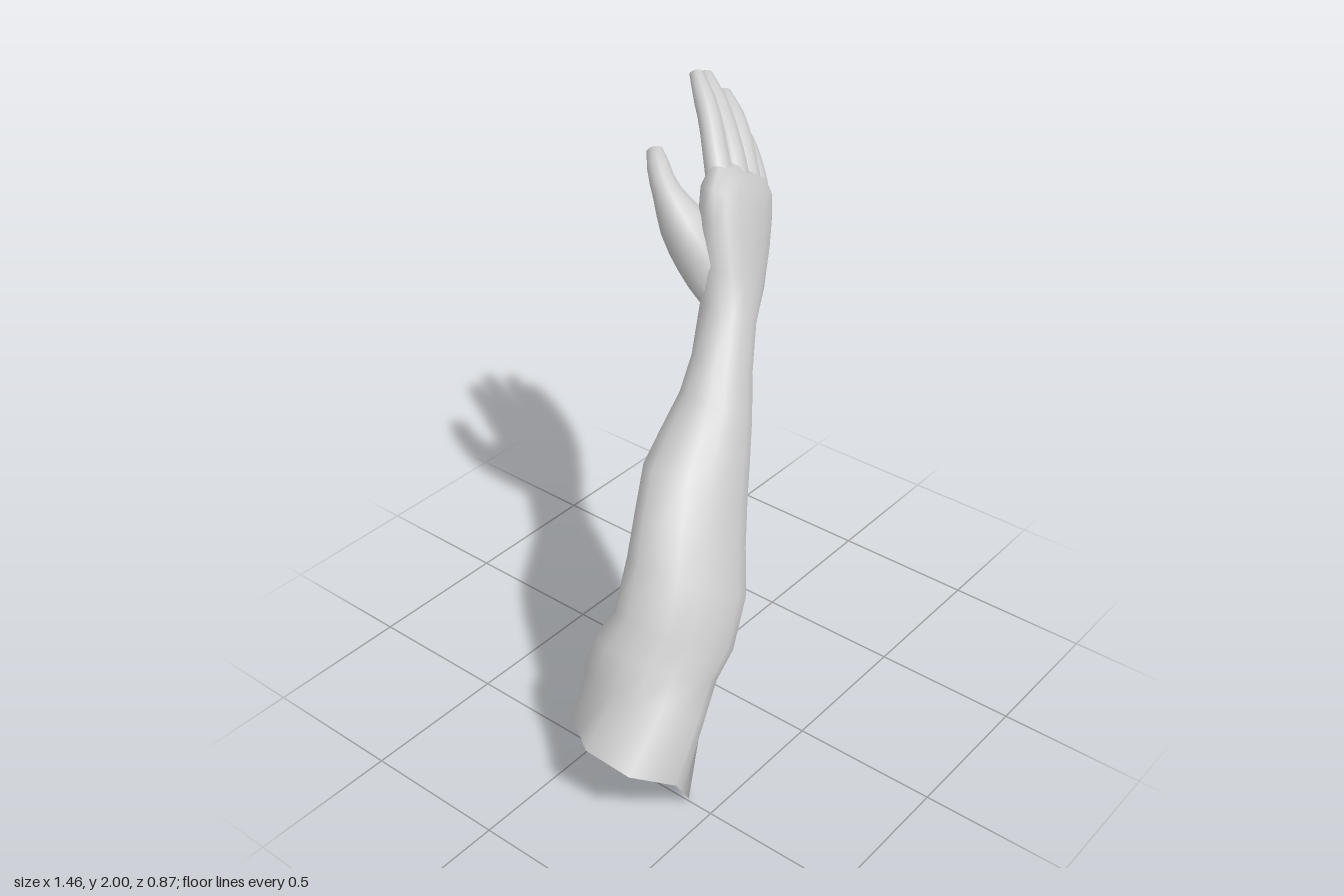
import * as THREE from 'three';

const V = (x, y, z) => new THREE.Vector3(x, y, z);
const ACROSS = V(0.84, -0.54, 0); // width direction of the arm and hand

// Skin a list of closed rings, close the far end and optionally skip some quads
function loft(rings, skip = () => false) {
  const n = rings[0].length;
  const positions = [], index = [];
  rings.forEach(ring => ring.forEach(p => positions.push(p.x, p.y, p.z)));
  for (let i = 0; i < rings.length - 1; i++) {
    for (let j = 0; j < n; j++) {
      if (skip(i, j)) continue;
      const k = (j + 1) % n;
      const a = i * n + j, b = i * n + k, c = a + n, d = b + n;
      index.push(a, c, b, b, c, d);
    }
  }
  const last = rings[rings.length - 1];
  const mid = last.reduce((s, p) => s.add(p), V(0, 0, 0)).divideScalar(n);
  positions.push(mid.x, mid.y, mid.z);
  const base = (rings.length - 1) * n;
  for (let j = 0; j < n; j++) index.push(base + j, rings.length * n, base + (j + 1) % n);
  const geometry = new THREE.BufferGeometry();
  geometry.setAttribute('position', new THREE.Float32BufferAttribute(positions, 3));
  geometry.setIndex(index);
  geometry.computeVertexNormals();
  return geometry;
}

// Oval section of the arm: centre x, y, front z, back z, half width, twist
function armRing([x, y, front, back, width, twist]) {
  const sides = 16;
  return Array.from({ length: sides }, (_, j) => {
    const t = (j / sides) * Math.PI * 2;
    const p = V(x, y, (front + back) / 2 + Math.sin(t) * (front - back) / 2);
    return p.addScaledVector(ACROSS, width * Math.cos(t - twist));
  });
}

// Uneven cut edge of the upper arm: corners with a midpoint between each pair
function cutEdge(corners) {
  const points = corners.map(c => V(...c));
  return points.flatMap((p, i) => [p, p.clone().lerp(points[(i + 1) % points.length], 0.5)]);
}

// Tapered digit along a smooth path, slightly flatter than wide
function digit(points, radii, flat) {
  const curve = new THREE.CatmullRomCurve3(points.map(p => V(...p)));
  const steps = 9, sides = 10, rings = [];
  for (let i = 0; i <= steps; i++) {
    const t = i / steps;
    const f = t * (radii.length - 1), k = Math.min(Math.floor(f), radii.length - 2);
    const r = THREE.MathUtils.lerp(radii[k], radii[k + 1], f - k);
    const centre = curve.getPoint(t), d = curve.getTangent(t);
    const u = ACROSS.clone().addScaledVector(d, -ACROSS.dot(d)).normalize();
    const v = u.clone().cross(d);
    rings.push(Array.from({ length: sides }, (_, j) => {
      const a = (j / sides) * Math.PI * 2;
      return centre.clone().addScaledVector(u, r * Math.cos(a)).addScaledVector(v, r * flat * Math.sin(a));
    }));
  }
  return loft(rings);
}

export function createModel() {
  const group = new THREE.Group();
  const skin = new THREE.MeshStandardMaterial({ color: 0xcccccc, side: THREE.DoubleSide });
  const add = (name, geometry) => {
    const mesh = new THREE.Mesh(geometry, skin);
    mesh.name = name;
    group.add(mesh);
  };

  // Open upper arm, elbow, forearm, wrist and palm in one skin
  const openEnd = cutEdge([
    [-0.41, 0.0, 0.24], [-0.50, 0.01, 0.41], [-0.60, 0.16, 0.44], [-0.72, 0.23, 0.35],
    [-0.73, 0.25, 0.18], [-0.60, 0.20, 0.0], [-0.47, 0.19, -0.02], [-0.38, 0.09, 0.14],
  ]);
  const sections = [
    [-0.46, 0.32, 0.405, -0.015, 0.18, 0.1],
    [-0.40, 0.42, 0.385, 0.0, 0.18, 0.25],
    [-0.34, 0.51, 0.39, 0.05, 0.187, 0.35],
    [-0.245, 0.655, 0.36, 0.03, 0.20, 0.35],
    [-0.17, 0.78, 0.30, 0.0, 0.194, 0.35],
    [-0.09, 0.90, 0.26, -0.05, 0.175, 0.25],
    [-0.02, 0.99, 0.225, -0.053, 0.153, 0.2],
    [0.06, 1.105, 0.185, -0.05, 0.127, 0.1],
    [0.13, 1.21, 0.135, -0.062, 0.112, 0.05],
    [0.225, 1.34, 0.08, -0.11, 0.105, 0],
    [0.30, 1.43, 0.045, -0.175, 0.148, -0.1],
    [0.372, 1.54, 0.0, -0.215, 0.198, -0.2],
    [0.42, 1.63, -0.04, -0.23, 0.208, -0.2],
    [0.463, 1.68, -0.08, -0.225, 0.19, -0.2],
    [0.495, 1.705, -0.13, -0.215, 0.155, -0.2],
  ];
  // The inner forearm has an open window
  const inWindow = (i, j) => i >= 6 && i <= 8 && (j === 12 || j === 13);
  add('armAndPalm', loft([openEnd, ...sections.map(armRing)], inWindow));

  // Four fingers curling toward the palm side
  const fingers = {
    indexFinger: [[0.31, 1.66, -0.10], [0.36, 1.765, -0.17], [0.44, 1.885, -0.27], [0.505, 1.98, -0.375]],
    middleFinger: [[0.39, 1.64, -0.11], [0.455, 1.74, -0.18], [0.54, 1.85, -0.30], [0.61, 1.935, -0.42]],
    ringFinger: [[0.47, 1.59, -0.12], [0.535, 1.67, -0.185], [0.62, 1.775, -0.29], [0.685, 1.855, -0.40]],
    littleFinger: [[0.54, 1.52, -0.14], [0.60, 1.61, -0.195], [0.66, 1.685, -0.275], [0.71, 1.75, -0.365]],
  };
  for (const [name, path] of Object.entries(fingers)) {
    const size = name === 'littleFinger' ? 0.92 : 1;
    add(name, digit(path, [0.054, 0.054, 0.049, 0.045, 0.041, 0.026].map(r => r * size), 0.85));
  }

  // Thumb with its fleshy base running into the palm
  add('thumb', digit(
    [[0.22, 1.38, -0.05], [0.235, 1.51, -0.135], [0.21, 1.64, -0.215], [0.225, 1.72, -0.285], [0.28, 1.79, -0.365]],
    [0.06, 0.09, 0.1, 0.085, 0.062, 0.045, 0.042, 0.028], 0.95));

  return group;
}
